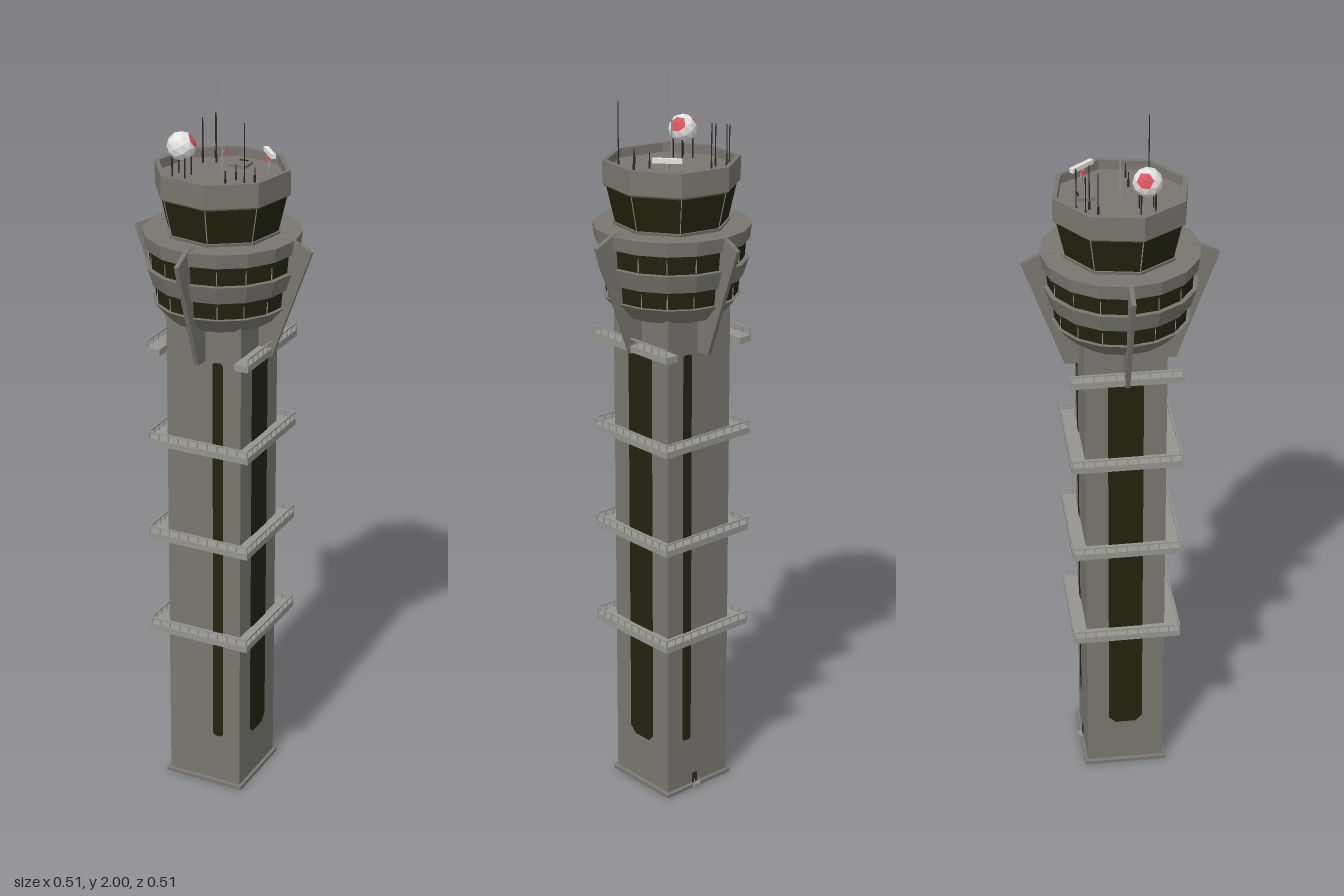
import * as THREE from 'three';

const mat = (name, color, extra = {}) => {
  const m = new THREE.MeshStandardMaterial({ color, flatShading: true, ...extra });
  m.name = name;
  return m;
};

export function createModel() {
  const root = new THREE.Group();
  root.name = 'controlTower';
  const concrete = mat('concrete', 0x7a766f, { side: THREE.DoubleSide });
  const glass = mat('dark glass', 0x24220e, { side: THREE.DoubleSide });
  const metal = mat('pale metal', 0x96948f);
  const white = mat('white paint', 0xe4e4e2);
  const red = mat('red paint', 0xd8545c);
  const dark = mat('dark steel', 0x2b2a28);

  const add = (parent, name, geo, m, x = 0, y = 0, z = 0) => {
    const mesh = new THREE.Mesh(geo, m);
    mesh.name = name;
    mesh.position.set(x, y, z);
    parent.add(mesh);
    return mesh;
  };
  const box = (p, name, m, w, h, d, x, y, z) => add(p, name, new THREE.BoxGeometry(w, h, d), m, x, y, z);
  const rod = (p, name, m, r, x, z, y0, y1) =>
    add(p, name, new THREE.CylinderGeometry(r, r, y1 - y0, 6), m, x, (y0 + y1) / 2, z);
  const group = (name) => {
    const g = new THREE.Group();
    g.name = name;
    root.add(g);
    return g;
  };
  const lathe = (pts, n, start = 0) =>
    new THREE.LatheGeometry(pts.map(([r, y]) => new THREE.Vector2(r, y)), n, start);

  // Hollow square shaft on a low plinth
  const square = (half, y0, y1) => {
    const r = half * Math.SQRT2;
    return new THREE.CylinderGeometry(r, r, y1 - y0, 4, 1, true, Math.PI / 4).translate(0, (y0 + y1) / 2, 0);
  };
  const S = 0.108;
  add(root, 'shaft', square(S, 0, 1.39), concrete);
  add(root, 'plinth', lathe([[0.116, 0], [0.116, 0.01], [S, 0.012]].map(([r, y]) => [r * Math.SQRT2, y]), 4, Math.PI / 4), concrete);

  // Tall shaft windows with clipped corners
  const strip = (name, w, y0, y1, x, z, turn) => {
    const c = w * 0.2, h = w / 2;
    const s = new THREE.Shape([[-h + c, y0], [h - c, y0], [h, y0 + c], [h, y1 - c], [h - c, y1], [-h + c, y1], [-h, y1 - c], [-h, y0 + c]]
      .map(([a, b]) => new THREE.Vector2(a, b)));
    add(root, name, new THREE.ShapeGeometry(s), glass, x, 0, z).rotation.y = turn;
  };
  const out = S + 0.002;
  strip('frontWindowStrip', 0.03, 0.155, 1.28, 0.042, out, 0);
  strip('backWindowStrip', 0.03, 0.155, 1.28, 0.042, -out, Math.PI);
  strip('leftWindowStrip', 0.094, 0.145, 1.285, out, 0, Math.PI / 2);
  strip('rightWindowStrip', 0.094, 0.145, 1.285, -out, 0, -Math.PI / 2);

  // Walkways with railings: full rings below, side balconies at the top
  const P = 0.147, W = P - S;
  const walkSide = (parent, y, turn) => {
    const side = new THREE.Group();
    side.name = 'walkwaySide';
    side.rotation.y = turn;
    parent.add(side);
    box(side, 'walkwaySlab', metal, W, 0.018, 2 * P, S + W / 2, y - 0.009, 0);
    box(side, 'handrail', metal, 0.004, 0.004, 2 * P, P - 0.002, y + 0.018, 0);
    for (let i = 0; i <= 10; i++)
      box(side, 'railPost', metal, 0.003, 0.018, 0.003, P - 0.002, y + 0.009, -P + 0.003 + i * (P - 0.003) / 5);
  };
  for (const y of [0.485, 0.766, 1.045]) {
    const ring = group('walkway');
    for (let k = 0; k < 4; k++) walkSide(ring, y, k * Math.PI / 2);
  }
  const balconies = group('upperBalconies');
  for (const turn of [0, Math.PI]) walkSide(balconies, 1.303, turn);

  // Sixteen-sided stepped lower cabin
  add(root, 'lowerCabin', lathe([
    [0.1, 1.375], [0.142, 1.375], [0.182, 1.42], [0.17, 1.42], [0.174, 1.468], [0.186, 1.468],
    [0.201, 1.516], [0.186, 1.516], [0.19, 1.567], [0.202, 1.567], [0.207, 1.605], [0, 1.605]], 16), concrete);
  add(root, 'lowerGlassBand', lathe([[0.173, 1.421], [0.177, 1.467]], 16), glass);
  add(root, 'upperGlassBand', lathe([[0.189, 1.517], [0.193, 1.566]], 16), glass);
  const mullions = group('cabinMullions');
  for (const [r, y] of [[0.175, 1.444], [0.191, 1.5415]])
    for (let i = 0; i < 16; i++) {
      const a = i * Math.PI / 8;
      box(mullions, 'mullion', metal, 0.002, 0.044, 0.002, r * Math.sin(a), y, r * Math.cos(a));
    }

  // Four buttress fins
  const finShape = new THREE.Shape([[0.1, 1.28], [0.147, 1.28], [0.255, 1.58], [0.2, 1.607], [0.17, 1.607], [0.115, 1.39], [0.1, 1.34]]
    .map(([x, y]) => new THREE.Vector2(x, y)));
  const finGeo = new THREE.ExtrudeGeometry(finShape, { depth: 0.012, bevelEnabled: false }).translate(0, 0, -0.006);
  for (let k = 0; k < 4; k++) add(root, 'buttressFin', finGeo, concrete).rotation.y = k * Math.PI / 2;

  // Octagonal control room, turned slightly, with a parapet roof
  const T = THREE.MathUtils.degToRad(12);
  add(root, 'controlRoomGlass', lathe([[0.147, 1.605], [0.17, 1.706]], 8, T), glass);
  add(root, 'controlRoomSill', lathe([[0.152, 1.605], [0.154, 1.613], [0.146, 1.613]], 8, T), concrete);
  add(root, 'parapetRoof', lathe([
    [0, 1.706], [0.172, 1.706], [0.179, 1.712], [0.179, 1.775], [0.167, 1.775], [0.167, 1.75], [0, 1.75]], 8, T), concrete);
  const posts = group('controlRoomMullions');
  for (let i = 0; i < 8; i++) {
    const a = T + i * Math.PI / 4;
    const pt = (r, y) => new THREE.Vector3(r * Math.sin(a), y, r * Math.cos(a));
    const line = new THREE.LineCurve3(pt(0.148, 1.61), pt(0.17, 1.706));
    add(posts, 'mullion', new THREE.TubeGeometry(line, 1, 0.0015, 4), metal);
  }
  const FLOOR = 1.75;
  box(root, 'roofHatch', concrete, 0.047, 0.008, 0.045, 0.009, FLOOR + 0.004, -0.087);
  box(root, 'hatchHinge', dark, 0.024, 0.003, 0.004, 0.009, FLOOR + 0.009, -0.106);

  // Faceted radome with red patches on four legs
  const radome = group('radome');
  radome.position.set(-0.087, 1.828, 0.056);
  const ball = new THREE.IcosahedronGeometry(0.038, 1);
  const pos = ball.attributes.position;
  for (let f = 0; f < pos.count / 3; f++) {
    let x = 0, y = 0, z = 0;
    for (let k = 0; k < 3; k++) { x += pos.getX(f * 3 + k); y += pos.getY(f * 3 + k); z += pos.getZ(f * 3 + k); }
    const painted = z < 0.03 && y > 0 && y < 0.085 && Math.abs(x) > 0.04;
    ball.addGroup(f * 3, 3, painted ? 1 : 0);
  }
  add(radome, 'radomeShell', ball, [white, red]);
  for (const sx of [-1, 1]) for (const sz of [-1, 1])
    rod(radome, 'radomeLeg', dark, 0.002, sx * 0.018, sz * 0.018, FLOOR - 1.828, -0.025);

  // Central mast with a red lamp and short cross arms
  rod(root, 'mast', metal, 0.0018, 0, 0, FLOOR, 2);
  for (const [y, m] of [[1.81, red], [1.87, metal]]) {
    box(root, 'mastArm', metal, 0.012, 0.002, 0.002, 0.005, y, 0);
    box(root, 'mastLamp', m, 0.004, 0.008, 0.004, 0.009, y + 0.003, 0.002);
  }

  // Whip antennas
  for (const [x, z, top] of [[-0.108, -0.1, 1.86], [-0.08, -0.12, 1.87], [-0.06, -0.085, 1.87], [-0.09, -0.067, 1.86],
    [0.052, 0.027, 1.79], [0.105, 0.027, 1.79], [0.052, 0.087, 1.79], [0.105, 0.087, 1.92]]) {
    rod(root, 'whipAntenna', dark, 0.0014, x, z, FLOOR, top);
    rod(root, 'antennaBase', dark, 0.003, x, z, FLOOR, FLOOR + 0.02);
  }

  // Rotating radar bar
  const radar = group('radarBar');
  radar.position.set(0.091, 0, -0.087);
  radar.rotation.y = -0.86;
  rod(radar, 'radarPost', metal, 0.004, 0, 0, FLOOR, 1.79);
  box(radar, 'radarAntenna', white, 0.076, 0.012, 0.012, 0, 1.796, 0);
  box(radar, 'radarMotor', red, 0.012, 0.01, 0.01, 0, 1.782, 0.006);

  // Small service door with a step and rail at the back
  box(root, 'serviceDoor', dark, 0.016, 0.03, 0.004, 0.012, 0.027, -S - 0.001);
  box(root, 'doorStep', metal, 0.022, 0.012, 0.014, 0.012, 0.006, -S - 0.008);
  for (const dx of [-0.01, 0.01]) rod(root, 'doorRail', metal, 0.001, 0.012 + dx, -S - 0.013, 0.01, 0.03);
  return root;
}
